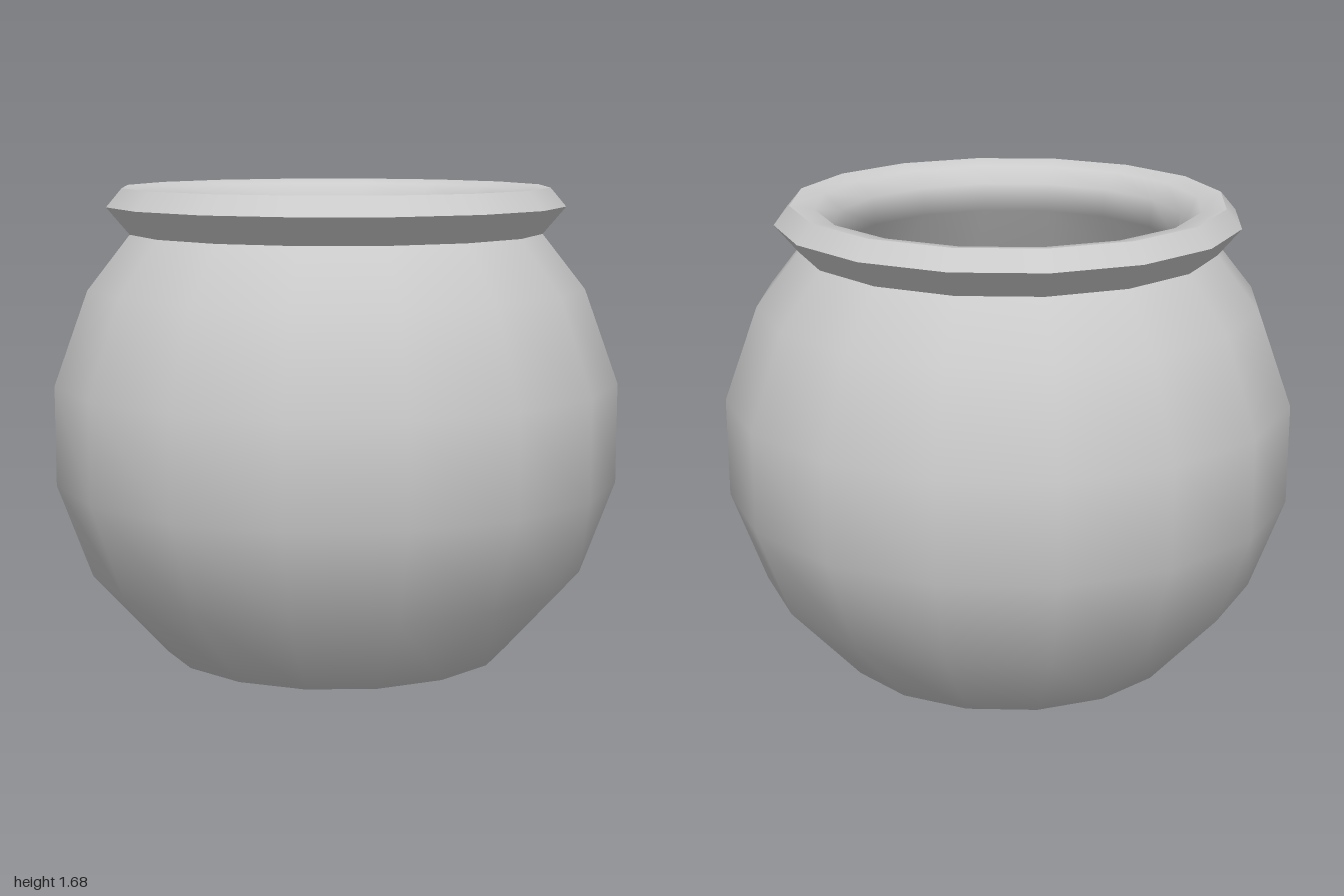
import * as THREE from 'three';

const SIDES = 16;

// Each band is smooth in itself; the joints between bands stay sharp.
// Profiles run up the outside, over the rim and down the inside as [radius, y].
const bands = {
  body: [[0, 0], [0.3, 0.005], [0.62, 0.03], [0.88, 0.32], [1, 0.65], [1, 1], [0.88, 1.33], [0.73, 1.52]],
  rimUnderside: [[0.73, 1.52], [0.81, 1.615]],
  rimBevel: [[0.81, 1.615], [0.755, 1.68]],
  lipAndInnerWall: [
    [0.755, 1.68], [0.67, 1.665], [0.61, 1.61], [0.6, 1.51],
    [0.79, 1.3], [0.91, 1], [0.91, 0.66], [0.8, 0.38], [0.53, 0.1],
  ],
  innerFloor: [[0.53, 0.1], [0, 0.1]],
};

export function createModel() {
  const pot = new THREE.Group();
  pot.name = 'pot';
  const material = new THREE.MeshStandardMaterial({ color: 0xcccccc });

  for (const [name, profile] of Object.entries(bands)) {
    const points = profile.map(([r, y]) => new THREE.Vector2(r, y));
    const mesh = new THREE.Mesh(new THREE.LatheGeometry(points, SIDES), material);
    mesh.name = name;
    pot.add(mesh);
  }
  return pot;
}
